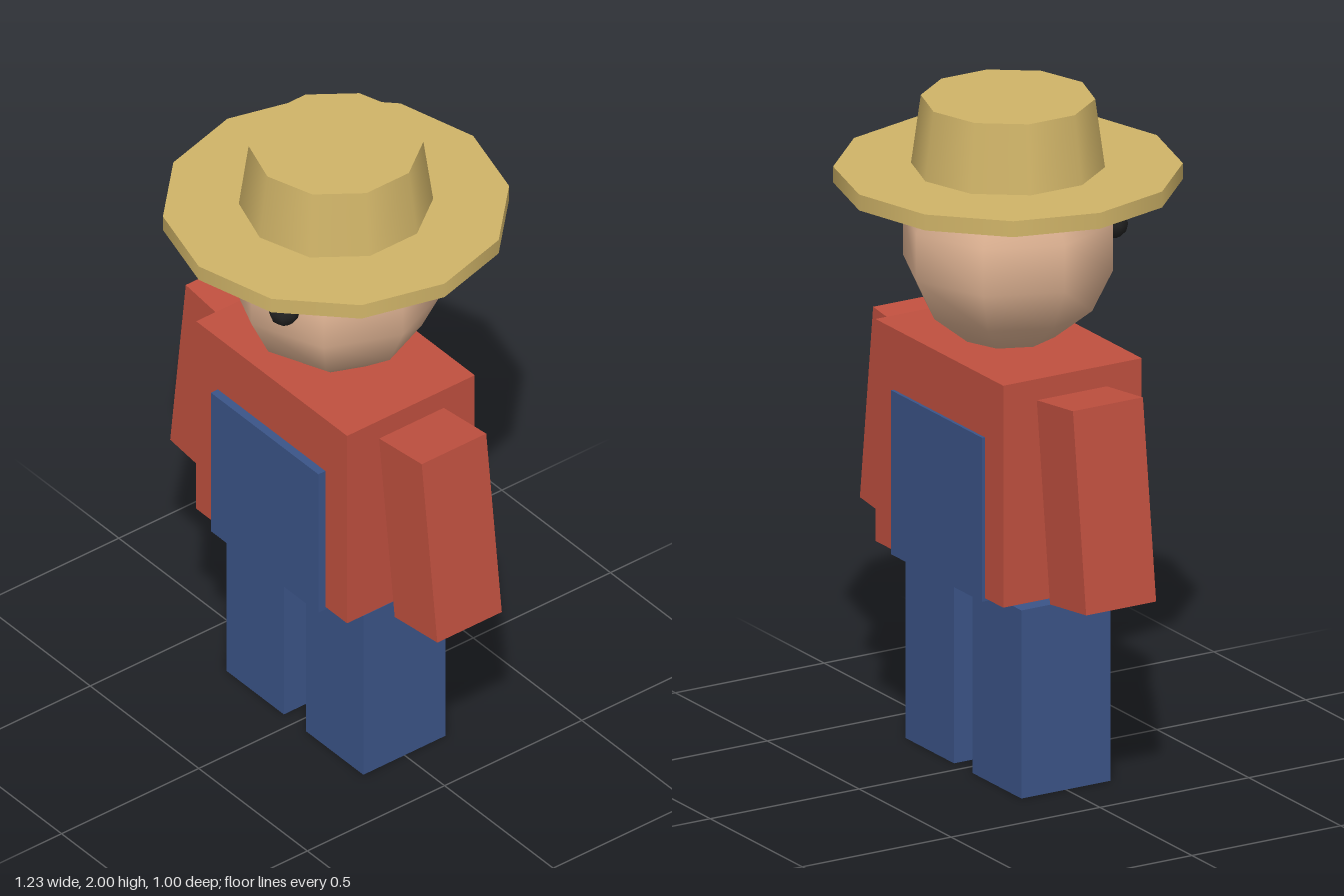
import * as THREE from 'three';

const mat = (color) => new THREE.MeshStandardMaterial({ color });

export function createModel() {
  const model = new THREE.Group();
  model.name = 'strawHatFarmer';
  const red = mat(0xc0503f);
  const blue = mat(0x3b5488);
  const straw = mat(0xd0b468);
  const skin = mat(0xe0b494);
  const black = mat(0x222222);

  const add = (name, geometry, material, x, y, z = 0) => {
    const mesh = new THREE.Mesh(geometry, material);
    mesh.name = name;
    mesh.position.set(x, y, z);
    model.add(mesh);
    return mesh;
  };

  // Shirt, with the overalls passing through to show front and back
  add('torso', new THREE.BoxGeometry(0.695, 0.67, 0.465), red, 0, 0.935, 0.002);
  add('overalls', new THREE.BoxGeometry(0.495, 0.495, 0.5), blue, 0, 0.838, 0.01);

  // Head
  add('head', new THREE.SphereGeometry(0.316, 8, 7), skin, 0, 1.57);

  // Mirrored limbs and eyes
  for (const [side, s] of [['left', 1], ['right', -1]]) {
    add(side + 'Leg', new THREE.BoxGeometry(0.265, 0.568, 0.3), blue, s * 0.183, 0.284);
    const arm = add(side + 'Arm', new THREE.BoxGeometry(0.198, 0.6, 0.235), red, s * 0.481, 0.92);
    arm.rotation.z = s * 0.12;
    add(side + 'Eye', new THREE.SphereGeometry(0.046, 8, 6), black, s * 0.115, 1.604, 0.28);
  }

  // Hat
  add('hatBrim', new THREE.CylinderGeometry(0.5, 0.5, 0.048, 12), straw, 0, 1.771);
  add('hatCrown', new THREE.CylinderGeometry(0.25, 0.28, 0.22, 10), straw, 0, 1.89);

  return model;
}
